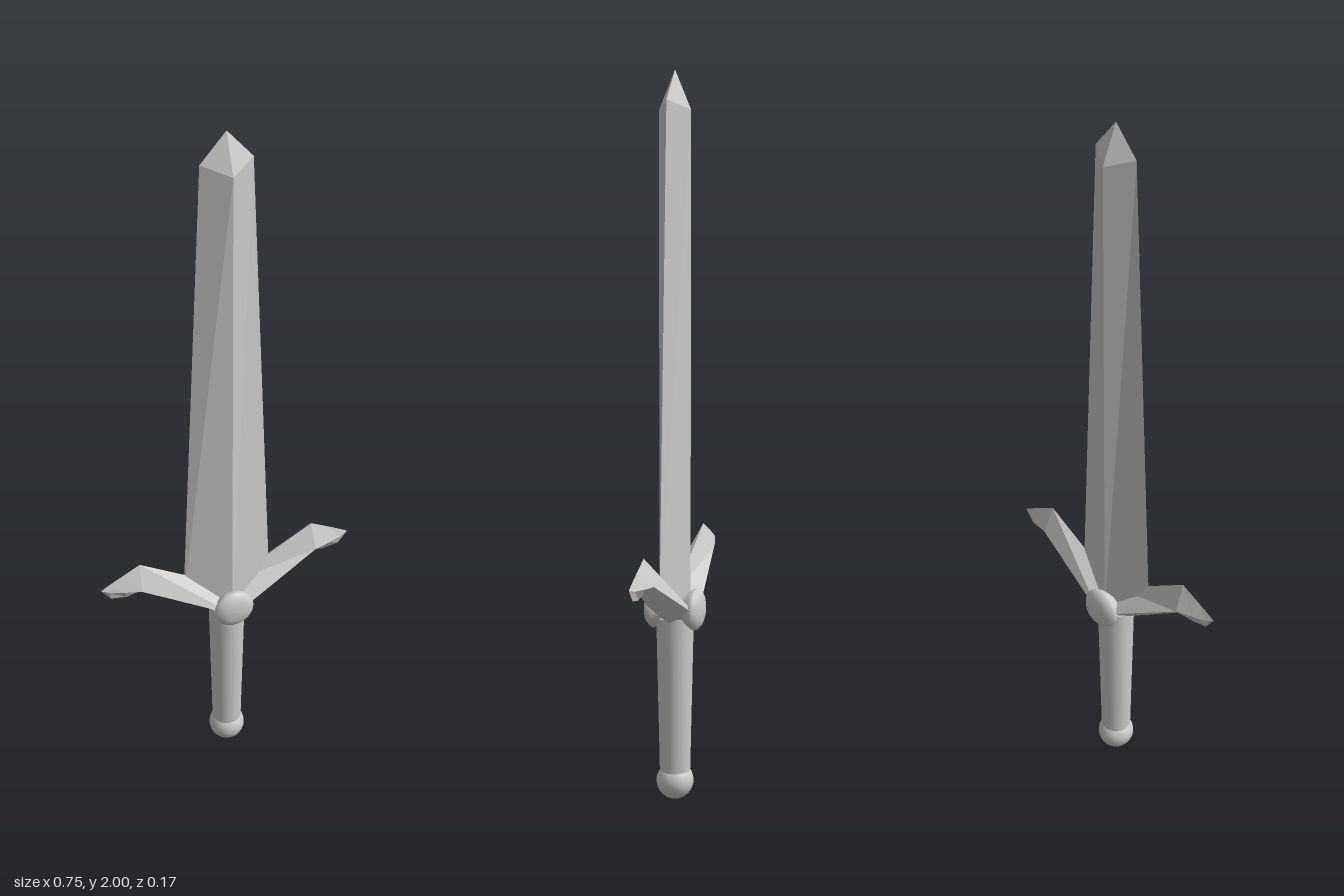
import * as THREE from 'three';

const flat = new THREE.MeshStandardMaterial({ color: 0xcccccc, flatShading: true });
const smooth = new THREE.MeshStandardMaterial({ color: 0xcccccc });

// Joins a series of four-cornered rings into a faceted solid
function loft(rings) {
  const pos = [];
  for (let i = 0; i < rings.length - 1; i++) {
    for (let j = 0; j < 4; j++) {
      const k = (j + 1) % 4;
      const a = rings[i][j], b = rings[i][k], c = rings[i + 1][k], d = rings[i + 1][j];
      pos.push(...a, ...b, ...c, ...a, ...c, ...d);
    }
  }
  const g = new THREE.BufferGeometry();
  g.setAttribute('position', new THREE.Float32BufferAttribute(pos, 3));
  g.computeVertexNormals();
  return g;
}

// Diamond ring of the blade: half width, edge height, ridge height, half depth
const bladeRing = (w, yEdge, yRidge, d) => [[0, yRidge, d], [w, yEdge, 0], [0, yRidge, -d], [-w, yEdge, 0]];

// Diamond ring of the guard, from [x, y] of its top, ridge and bottom
const guardRing = ([top, ridge, bottom, d], s) => [
  [s * top[0], top[1], 0], [s * ridge[0], ridge[1], d],
  [s * bottom[0], bottom[1], 0], [s * ridge[0], ridge[1], -d],
];

export function createModel() {
  const group = new THREE.Group();
  const add = (name, geometry, material) => {
    const mesh = new THREE.Mesh(geometry, material);
    mesh.name = name;
    group.add(mesh);
    return mesh;
  };

  // Blade with a central ridge and a short point
  add('blade', loft([
    bladeRing(0, 0.53, 0.53, 0),
    bladeRing(0.132, 0.56, 0.53, 0.045),
    bladeRing(0.071, 1.92, 1.895, 0.045),
    bladeRing(0, 2, 2, 0),
  ]), flat);

  // Guard: arms rise outward, then hook down to a point
  const half = [
    [[0.258, 0.735], [0.262, 0.662], [0.262, 0.643], 0.03],
    [[0.31, 0.709], [0.31, 0.664], [0.298, 0.632], 0.018],
    [[0.35, 0.688], [0.35, 0.667], [0.345, 0.64], 0.007],
    [[0.373, 0.675], [0.373, 0.675], [0.373, 0.675], 0],
  ];
  const middle = [[0, 0.587], [0, 0.525], [0, 0.48], 0.066];
  add('guard', loft([
    ...half.slice().reverse().map((r) => guardRing(r, -1)),
    guardRing(middle, 1),
    ...half.map((r) => guardRing(r, 1)),
  ]), flat);

  // Domed bosses on the front and back of the guard
  const profile = [[0.036, 0], [0.042, 0.025], [0.053, 0.048], [0.059, 0.058], [0.056, 0.066],
    [0.046, 0.075], [0.032, 0.08], [0.016, 0.082], [0, 0.083]]
    .map(([r, h]) => new THREE.Vector2(r, h));
  for (const s of [1, -1]) {
    const boss = add(s > 0 ? 'frontBoss' : 'backBoss', new THREE.LatheGeometry(profile, 24), smooth);
    boss.rotation.x = s * Math.PI / 2;
    boss.position.y = 0.545;
  }

  // Tapered grip
  const grip = add('grip', new THREE.CylinderGeometry(0.052, 0.042, 0.46, 24), smooth);
  grip.position.y = 0.29;

  // Ball pommel
  const pommel = add('pommel', new THREE.SphereGeometry(0.052, 24, 16), smooth);
  pommel.position.y = 0.052;

  return group;
}
